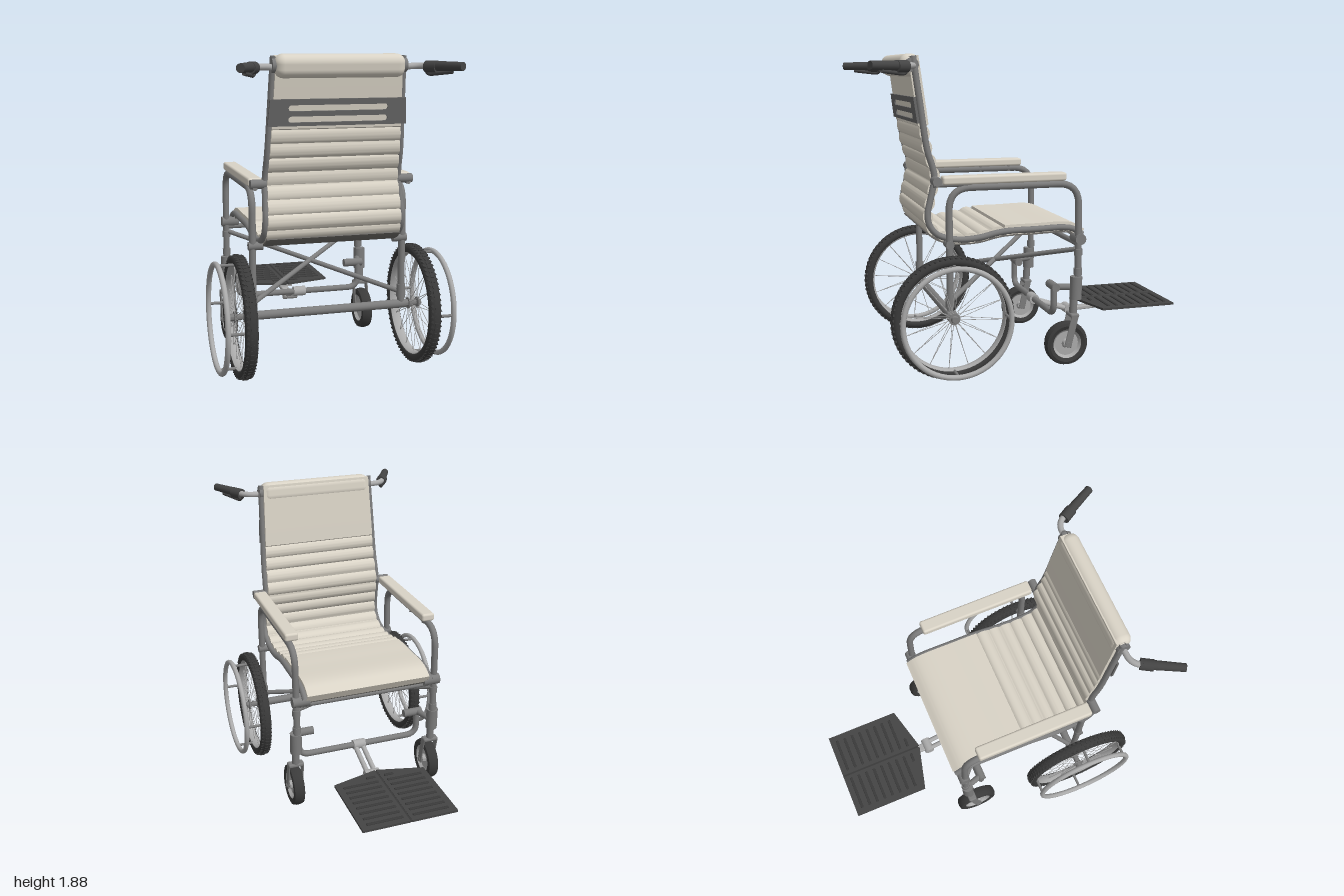
import * as THREE from 'three';
import { mergeGeometries, mergeVertices, toCreasedNormals } from 'three/addons/utils/BufferGeometryUtils.js';
import { RoundedBoxGeometry } from 'three/addons/geometries/RoundedBoxGeometry.js';

const V = (x, y, z) => new THREE.Vector3(x, y, z);
const mat = (color) => new THREE.MeshStandardMaterial({ color, side: THREE.DoubleSide });

export function createModel() {
  const root = new THREE.Group();
  const metal = mat(0x7c7c7c), light = mat(0xababab), rubber = mat(0x3a3a3a);
  const plastic = mat(0x444444), fabric = mat(0xd9d3c6), sling = mat(0x6c6a66), band = mat(0x666666);

  const add = (name, geo, material, parent = root) => {
    const m = new THREE.Mesh(geo, material);
    m.name = name;
    parent.add(m);
    return m;
  };
  // Straight round bar between two points
  const rodGeo = (a, b, r, r2 = r, n = 16) => {
    const d = b.clone().sub(a);
    const g = new THREE.CylinderGeometry(r2, r, d.length(), n);
    g.applyQuaternion(new THREE.Quaternion().setFromUnitVectors(V(0, 1, 0), d.normalize()));
    return g.translate(...a.clone().add(b).multiplyScalar(0.5).toArray());
  };
  const rod = (name, a, b, r, m, parent, r2) => add(name, rodGeo(a, b, r, r2), m, parent);
  // Bent pipe with rounded corners
  const pipe = (name, pts, r, bend, m, parent) => {
    const path = new THREE.CurvePath();
    let from = pts[0];
    for (let i = 1; i < pts.length - 1; i++) {
      const p = pts[i];
      const a = p.clone().add(pts[i - 1].clone().sub(p).setLength(bend));
      const b = p.clone().add(pts[i + 1].clone().sub(p).setLength(bend));
      path.add(new THREE.LineCurve3(from, a));
      path.add(new THREE.QuadraticBezierCurve3(a, p, b));
      from = b;
    }
    path.add(new THREE.LineCurve3(from, pts[pts.length - 1]));
    return add(name, new THREE.TubeGeometry(path, 70, r, 12), m, parent);
  };
  // Lathe whose axis lies along x; profile is [radius, x]
  const turned = (profile, n = 56) =>
    toCreasedNormals(new THREE.LatheGeometry(profile.map(([r, x]) => new THREE.Vector2(r, x)), n).rotateZ(-Math.PI / 2), 0.7);

  // Side profile of the backrest and seat, from the top down and forward
  const profile = new THREE.CatmullRomCurve3([
    [1.87, 0.71], [1.6, 0.675], [1.34, 0.64], [1.18, 0.6], [1.06, 0.625], [0.94, 0.645], [0.86, 0.61],
    [0.815, 0.51], [0.81, 0.36], [0.84, 0.2], [0.845, 0], [0.84, -0.24], [0.8, -0.31],
  ].map(([y, z]) => V(0, y, z)));
  const halfWidth = (y) => 0.412 - 0.037 * (y - 0.85);
  const N = 280, length = profile.getLength();
  const samples = Array.from({ length: N + 1 }, (_, i) => {
    const u = i / N, t = profile.getTangentAt(u);
    return { p: profile.getPointAt(u), ny: -t.z, nz: t.y, s: u * length };
  });
  const sheet = (list, front, back) => {
    const at = (q, o) => new THREE.Vector2(q.p.z + q.nz * o, q.p.y + q.ny * o);
    const outline = [...list.map((q) => at(q, front(q.s))), ...list.map((q) => at(q, back(q.s))).reverse()];
    const g = new THREE.ExtrudeGeometry(new THREE.Shape(outline), { depth: 2, bevelEnabled: false });
    g.rotateY(-Math.PI / 2).translate(1, 0, 0);
    const pos = g.attributes.position;
    for (let i = 0; i < pos.count; i++) pos.setX(i, pos.getX(i) * (halfWidth(pos.getY(i)) - 0.01));
    g.deleteAttribute('normal');
    g.deleteAttribute('uv');
    return toCreasedNormals(mergeVertices(g), 0.6);
  };
  // Padded rolls run from the middle of the back to the rear of the seat
  const roll = (s) => {
    if (s < 0.4 || s > 1.48) return 1;
    return 0.35 + 0.65 * Math.sqrt(Math.abs(Math.sin(Math.PI * (s - 0.4) / 0.083)));
  };
  add('cushion', sheet(samples, (s) => 0.034 * roll(s), (s) => -0.026 * roll(s)), fabric);
  add('seatSling', sheet(samples.filter((q) => q.p.y < 0.87), () => -0.02, () => -0.034), sling);
  const head = add('headRoll', new RoundedBoxGeometry(0.75, 0.13, 0.115, 5, 0.05), fabric);
  head.position.set(0, 1.818, 0.722);
  head.rotation.x = 0.13;

  // Slotted band across the rear of the back
  const bandShape = new THREE.Shape([[-0.405, -0.075], [0.405, -0.075], [0.395, 0.075], [-0.395, 0.075]].map((p) => new THREE.Vector2(...p)));
  for (const y of [-0.038, 0.025]) {
    const hole = new THREE.Path();
    hole.absarc(-0.272, y, 0.017, Math.PI / 2, Math.PI * 1.5);
    hole.absarc(0.272, y, 0.017, -Math.PI / 2, Math.PI / 2);
    bandShape.holes.push(hole);
  }
  const backBand = add('backBand', new THREE.ExtrudeGeometry(bandShape, { depth: 0.014, bevelEnabled: false }), band);
  backBand.position.set(0, 1.565, 0.692);
  backBand.rotation.x = 0.13;

  // Large wheel: tyre with tread, rim, spokes, hub and push ring
  const treads = [], spokes = [];
  for (let i = 0; i < 72; i++) {
    for (const k of [-1, 0, 1]) {
      const g = new THREE.BoxGeometry(0.02, 0.009, 0.014).rotateY(k * 0.5);
      g.translate(0, 0.36, 0).rotateZ(0).translate(k * 0.022, k ? -0.006 : 0, 0);
      treads.push(g.rotateX((i + (k ? 0.5 : 0)) * Math.PI / 36));
    }
  }
  for (let i = 0; i < 32; i++) {
    const side = i % 2 ? 1 : -1;
    spokes.push(rodGeo(V(side * 0.03, 0.025, 0), V(0, 0.31, side * 0.03), 0.0018, 0.0018, 5).rotateX(i * Math.PI / 16));
  }
  const tyreGeo = new THREE.TorusGeometry(0.331, 0.031, 14, 64).rotateY(Math.PI / 2).scale(1.2, 1, 1);
  const treadGeo = mergeGeometries(treads), spokeGeo = mergeGeometries(spokes);
  const rimGeo = turned([[0.322, -0.03], [0.308, -0.028], [0.3, -0.012], [0.3, 0.012], [0.308, 0.028], [0.322, 0.03]], 64);
  const hubGeo = turned([[0, -0.06], [0.022, -0.06], [0.022, -0.035], [0.034, -0.034], [0.034, -0.026], [0.018, -0.02],
    [0.018, 0.02], [0.034, 0.026], [0.034, 0.034], [0.022, 0.035], [0.018, 0.05], [0, 0.05]], 24);
  // Small front wheel
  const casterTyreGeo = turned([[0.09, -0.03], [0.112, -0.038], [0.128, -0.032], [0.135, -0.012],
    [0.135, 0.012], [0.128, 0.032], [0.112, 0.038], [0.09, 0.03]], 40);
  const casterHubGeo = turned([[0, -0.034], [0.025, -0.034], [0.03, -0.012], [0.075, -0.012], [0.09, -0.03], [0.097, -0.03],
    [0.097, 0.03], [0.09, 0.03], [0.075, 0.012], [0.03, 0.012], [0.025, 0.034], [0, 0.034]], 40);

  for (const s of [1, -1]) {
    const side = new THREE.Group();
    side.name = s > 0 ? 'leftSide' : 'rightSide';
    root.add(side);
    const P = (x, y, z) => V(s * x, y, z);

    const wheel = new THREE.Group();
    wheel.name = 'rearWheel';
    wheel.position.copy(P(0.54, 0.375, 0.53));
    side.add(wheel);
    add('tyre', tyreGeo, rubber, wheel);
    add('tread', treadGeo, rubber, wheel);
    add('rim', rimGeo, light, wheel);
    add('spokes', spokeGeo, light, wheel);
    add('hub', hubGeo, metal, wheel);
    add('pushRing', new THREE.TorusGeometry(0.315, 0.016, 10, 56).rotateY(Math.PI / 2), light, wheel).position.x = s * 0.128;
    for (let i = 0; i < 4; i++) {
      const a = i * Math.PI / 2, y = Math.cos(a) * 0.312, z = Math.sin(a) * 0.312;
      rod('ringStud', V(s * 0.02, y, z), V(s * 0.128, y, z), 0.009, metal, wheel);
    }

    // Caster with fork, stem and sleeve
    const caster = new THREE.Group();
    caster.name = 'caster';
    caster.position.copy(P(0.465, 0.14, -0.19));
    side.add(caster);
    add('casterTyre', casterTyreGeo, rubber, caster);
    add('casterHub', casterHubGeo, light, caster);
    rod('casterAxle', V(-0.055, 0, 0), V(0.055, 0, 0), 0.014, metal, caster);
    for (const k of [-1, 1]) {
      const leg = add('forkLeg', new RoundedBoxGeometry(0.01, 0.2, 0.045, 2, 0.005), metal, caster);
      leg.position.set(k * 0.046, 0.08, -0.02);
      leg.rotation.x = -0.24;
    }
    const crown = add('forkCrown', new RoundedBoxGeometry(0.102, 0.025, 0.055, 2, 0.01), metal, caster);
    crown.position.set(0, 0.175, -0.043);
    rod('casterStem', P(0.465, 0.31, -0.235), P(0.465, 0.43, -0.24), 0.024, metal, side);
    rod('postSleeve', P(0.465, 0.41, -0.25), P(0.465, 0.55, -0.255), 0.037, metal, side);

    // Bent side frame and armrest
    pipe('sideFrame', [P(0.46, 0.36, 0.53), P(0.46, 1.12, 0.53), P(0.46, 1.12, -0.267), P(0.46, 0.5, -0.267)], 0.021, 0.13, metal, side);
    add('armPad', new RoundedBoxGeometry(0.085, 0.05, 0.75, 3, 0.014), fabric, side).position.copy(P(0.449, 1.165, 0.195));
    rod('armPivot', P(0.395, 1.16, 0.6), P(0.485, 1.16, 0.6), 0.027, metal, side);
    rod('armBracket', P(0.46, 1.14, 0.62), P(0.46, 1.14, 0.4), 0.014, metal, side);
    for (const z of [0.1, -0.1]) rod('armSpacer', P(0.455, 1.1, z), P(0.455, 1.15, z), 0.014, metal, side);

    // Pipe that follows the seat and backrest edge
    const edge = new THREE.CatmullRomCurve3(samples.filter((_, i) => i % 10 === 0).map(({ p }) => P(halfWidth(p.y), p.y, p.z)));
    add('seatFrame', new THREE.TubeGeometry(edge, 100, 0.019, 10), metal, side);
    rod('frontClamp', P(0.38, 0.78, -0.275), P(0.488, 0.78, -0.275), 0.034, metal, side);
    rod('rearClamp', P(0.4, 0.79, 0.53), P(0.485, 0.79, 0.53), 0.025, metal, side);
    for (const y of [0.58, 0.7]) rod('postCollar', P(0.46, y - 0.02, -0.267), P(0.46, y + 0.02, -0.267), 0.026, metal, side);
    rod('rearCollar', P(0.46, 0.42, 0.53), P(0.46, 0.5, 0.53), 0.027, metal, side);

    // Push handle, grip and brake lever
    pipe('handleTube', [P(0.35, 1.81, 0.72), P(0.47, 1.815, 0.72), P(0.54, 1.815, 0.83)], 0.018, 0.05, light, side);
    rod('handleCollar', P(0.365, 1.82, 0.718), P(0.388, 1.82, 0.718), 0.04, metal, side);
    rod('grip', P(0.5, 1.815, 0.775), P(0.612, 1.815, 0.985), 0.029, plastic, side, 0.024);
    rod('gripCollar', P(0.492, 1.81, 0.765), P(0.53, 1.81, 0.83), 0.034, plastic, side);
    pipe('brakeLever', [P(0.485, 1.8, 0.76), P(0.5, 1.768, 0.78), P(0.58, 1.785, 0.92)], 0.011, 0.02, plastic, side);

    // Link that hangs the foot frame from the front post
    rod('footLink', P(0.45, 0.48, -0.26), P(0.41, 0.48, -0.13), 0.02, metal, side);
    rod('footClamp', P(0.315, 0.48, -0.135), P(0.44, 0.48, -0.135), 0.026, metal, side);

    // One half of the crossed brace
    rod('crossBrace', P(-0.46, 0.72, -0.267), P(0.46, 0.45, 0.53), 0.015, metal, side);
  }

  // Cross members
  rod('axleBar', V(-0.49, 0.375, 0.53), V(0.49, 0.375, 0.53), 0.026, metal);
  rod('frontCrossbar', V(-0.46, 0.75, -0.267), V(0.46, 0.75, -0.267), 0.017, metal);
  pipe('footFrame', [V(-0.41, 0.48, -0.13), V(-0.41, 0.31, -0.13), V(0.41, 0.31, -0.13), V(0.41, 0.48, -0.13)], 0.02, 0.07, metal);

  // Footrest arm
  rod('armClamp', V(-0.04, 0.31, -0.13), V(0.04, 0.31, -0.13), 0.032, light);
  for (const x of [-0.025, 0.025]) rod('footArmRear', V(x, 0.3, -0.13), V(x, 0.222, -0.37), 0.016, light);
  rod('footPivot', V(-0.047, 0.222, -0.37), V(0.047, 0.222, -0.37), 0.032, light);
  const arm = add('footArm', new RoundedBoxGeometry(0.055, 0.026, 0.59, 2, 0.008), light);
  arm.position.set(0, 0.23, -0.65);
  arm.rotation.x = 0.04;
  add('plateMount', new THREE.BoxGeometry(0.1, 0.028, 0.3), light).position.set(0, 0.259, -0.64);

  // Two-leaf footplate with raised ribs
  for (const s of [1, -1]) {
    const leaf = new THREE.Shape([[0.006, 0.43], [0.3, 0.505], [0.3, 1], [0.006, 1]].map(([x, z]) => new THREE.Vector2(s * x, z)));
    const g = new THREE.ExtrudeGeometry(leaf, { depth: 0.014, bevelEnabled: false }).rotateX(-Math.PI / 2);
    add('footPlate', g, plastic).position.y = 0.272;
    for (let i = 0; i < 9; i++) {
      const w = i ? 0.23 : 0.06;
      const rib = add('plateRib', new RoundedBoxGeometry(w, 0.01, 0.018, 2, 0.004), rubber);
      rib.position.set(s * (0.03 + w / 2), 0.288, -0.505 - i * 0.056);
    }
  }
  add('plateHinge', new THREE.BoxGeometry(0.014, 0.01, 0.56), rubber).position.set(0, 0.279, -0.72);

  return root;
}
